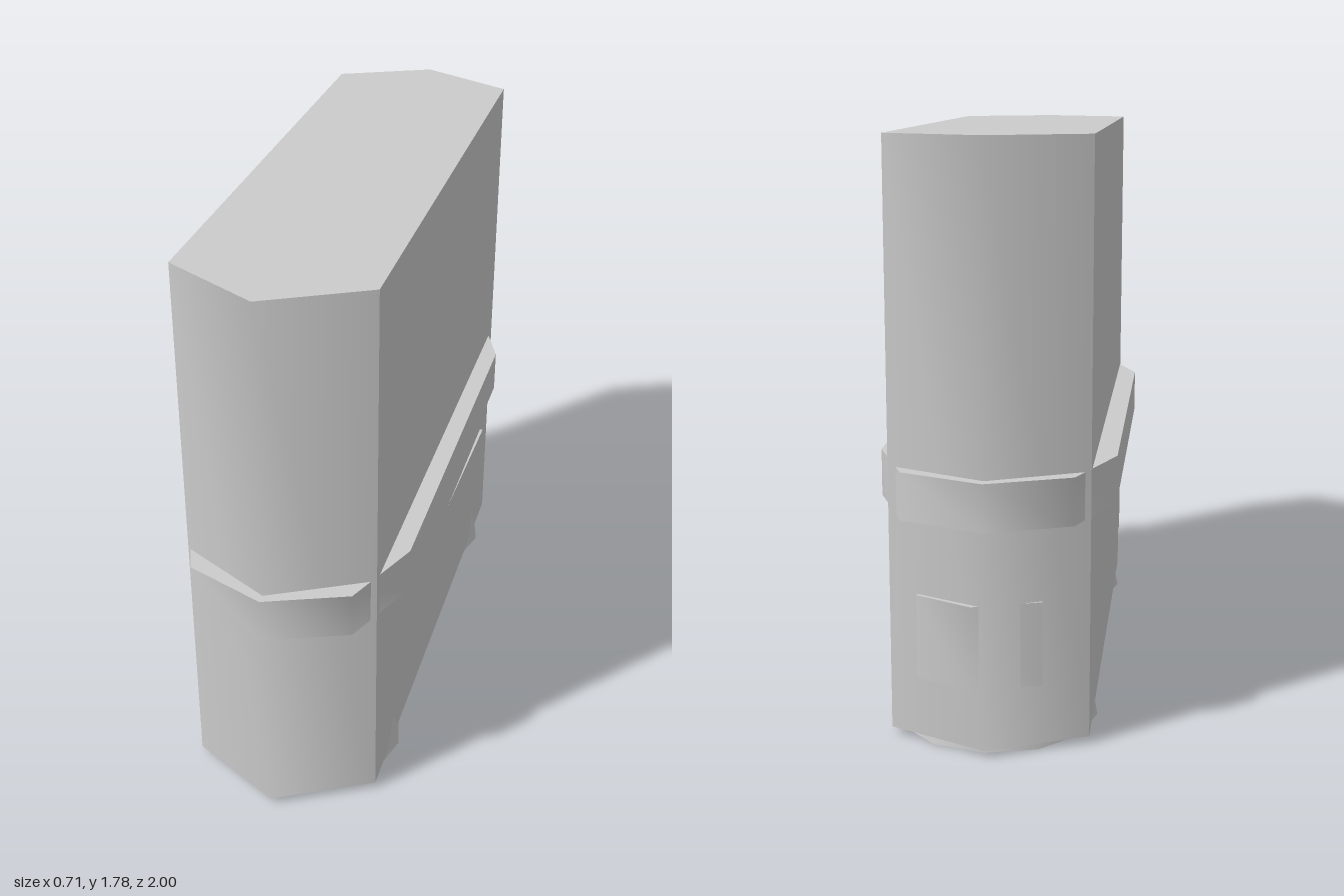
import * as THREE from 'three';
import { toCreasedNormals } from 'three/addons/utils/BufferGeometryUtils.js';

const material = new THREE.MeshStandardMaterial({ color: 0xcccccc });
const openMaterial = new THREE.MeshStandardMaterial({ color: 0xcccccc, side: THREE.DoubleSide });

// Upright prism from a floor plan of [x, z] points; gentle corners are smoothed
function prism(name, plan, bottom, top) {
  const shape = new THREE.Shape(plan.map(([x, z]) => new THREE.Vector2(x, -z)));
  const geometry = new THREE.ExtrudeGeometry(shape, { depth: top - bottom, bevelEnabled: false });
  geometry.rotateX(-Math.PI / 2).translate(0, bottom, 0);
  const mesh = new THREE.Mesh(toCreasedNormals(geometry, 1.0), material);
  mesh.name = name;
  return mesh;
}

export function createModel() {
  const group = new THREE.Group();
  group.name = 'container';

  // Tall six-sided body with pointed ends
  group.add(prism('body', [
    [0.3, 0.81], [0.3, -0.83], [0, -0.967], [-0.293, -0.83], [-0.293, 0.81], [0, 0.97],
  ], 0.022, 1.785));

  // Raised band; the body's corners poke through it
  group.add(prism('band', [
    [0.357, 0.64], [0.357, -0.64], [0.25, -0.9], [0, -1], [-0.25, -0.9],
    [-0.357, -0.64], [-0.357, 0.64], [-0.25, 0.9], [0, 1], [0.25, 0.9],
  ], 0.69, 0.833));

  // Shallow wedge panels, one on each long side at opposite ends
  for (const s of [1, -1]) {
    const outer = s > 0 ? 0.311 : 0.302;
    const inner = s > 0 ? 0.299 : 0.292;
    group.add(prism('sidePanel', [
      [s * 0.27, s * -0.1], [s * inner, s * -0.1], [s * outer, s * -0.7], [s * 0.27, s * -0.7],
    ], 0.205, 0.46));
  }

  // Bent panel wrapped over the back ridge
  group.add(prism('backPanel', [
    [0.2, -0.84], [0.212, -0.882], [0.04, -0.966], [-0.16, -0.901], [-0.15, -0.86], [0, -0.92],
  ], 0.205, 0.46));

  // Flared twelve-sided feet, open underneath
  for (const z of [0.59, -0.62]) {
    const geometry = new THREE.CylinderGeometry(0.291, 0.312, 0.12, 12, 1, true);
    const foot = new THREE.Mesh(geometry, openMaterial);
    foot.name = 'foot';
    foot.position.set(0.008, 0.06, z);
    group.add(foot);
  }
  return group;
}
